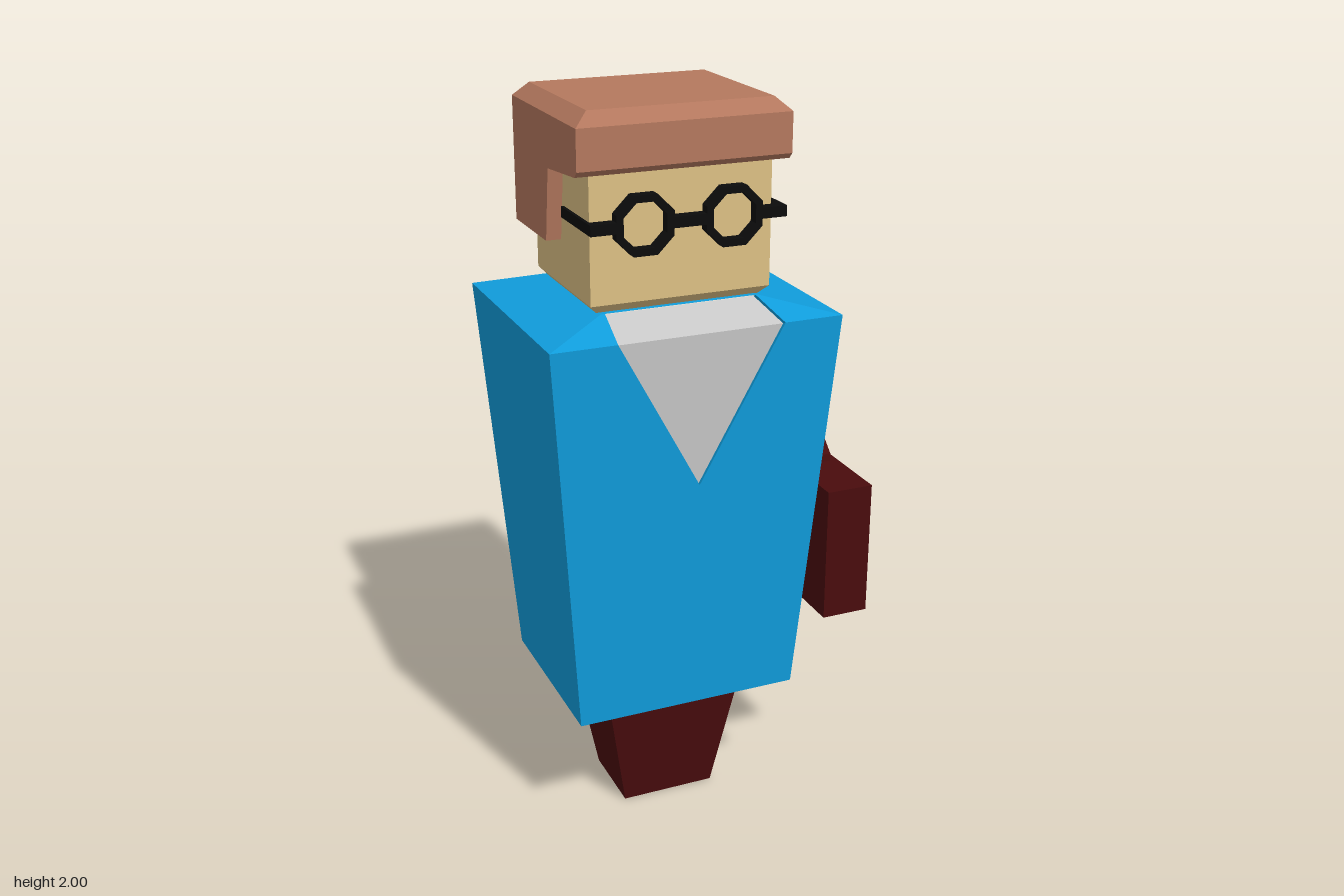
import * as THREE from 'three';

const mat = (name, color) => new THREE.MeshStandardMaterial({ name, color });

// Flat-shaded geometry from convex polygons (corners counter-clockwise)
function polys(list) {
  const pos = [];
  for (const p of list)
    for (let i = 1; i < p.length - 1; i++) pos.push(...p[0], ...p[i], ...p[i + 1]);
  const g = new THREE.BufferGeometry();
  g.setAttribute('position', new THREE.Float32BufferAttribute(pos, 3));
  g.computeVertexNormals();
  return g;
}

// Polygons joining stacked rectangles [y, x0, x1, z0, z1]; side 0 is the front
function stack(rings, { skip = -1, bottom = true, top = true } = {}) {
  const r = rings.map(([y, x0, x1, z0, z1]) => [[x0, y, z1], [x1, y, z1], [x1, y, z0], [x0, y, z0]]);
  const out = [];
  for (let k = 0; k < r.length - 1; k++)
    for (let i = 0; i < 4; i++) {
      const j = (i + 1) % 4;
      if (i !== skip) out.push([r[k][i], r[k][j], r[k + 1][j], r[k + 1][i]]);
    }
  if (bottom) out.push([...r[0]].reverse());
  if (top) out.push(r[r.length - 1]);
  return out;
}

// Side profile given as [z, y], extruded from x0 to x1
function sideExtrude(points, x0, x1) {
  const shape = new THREE.Shape(points.map(([z, y]) => new THREE.Vector2(z, y)));
  const g = new THREE.ExtrudeGeometry(shape, { depth: x1 - x0, bevelEnabled: false });
  return g.rotateY(-Math.PI / 2).translate(x1, 0, 0);
}

export function createModel() {
  const model = new THREE.Group();
  const blue = mat('jumper blue', 0x109ddc);
  const red = mat('dark maroon', 0x490c0d);
  const skin = mat('skin', 0xdcc084);
  const brown = mat('hair brown', 0xb4785e);
  const grey = mat('shirt grey', 0xc8c8c8);
  const black = mat('glasses black', 0x0c0c0c);
  const add = (name, geo, material, parent = model) => {
    const m = new THREE.Mesh(geo, material);
    m.name = name;
    parent.add(m);
    return m;
  };
  const box = (name, x0, x1, y0, y1, z0, z1, material, parent) =>
    add(name, new THREE.BoxGeometry(x1 - x0, y1 - y0, z1 - z0), material, parent)
      .position.set((x0 + x1) / 2, (y0 + y1) / 2, (z0 + z1) / 2);

  // Tapered legs and the dark underside of the torso
  add('legs', polys(stack([[0, -0.185, 0.082, -0.108, 0.108], [0.375, -0.252, 0.149, -0.163, 0.163]])), red);
  const hem = [0.373, -0.365, 0.26, -0.255, 0.255];
  add('torsoUnderside', polys(stack([hem, hem], { top: false }).slice(4)), red);

  // Torso with a V opening cut into the front
  const shoulder = [1.457, -0.445, 0.342, -0.32, 0.32];
  const neckline = [1.497, -0.267, 0.163, -0.2, 0.195];
  const BL = [-0.365, 0.373, 0.255], BR = [0.26, 0.373, 0.255];
  const TL = [-0.445, 1.457, 0.32], TR = [0.342, 1.457, 0.32];
  const NL = [-0.267, 1.497, 0.195], NR = [0.163, 1.497, 0.195];
  const V = [-0.041, 1.04, 0.295];
  const VL = [-0.27, 1.457, 0.32], VR = [0.18, 1.457, 0.32];
  const CL = [-0.256, 1.497, 0.195], CR = [0.156, 1.497, 0.195];
  const inset = ([x, y, z]) => [x, y - 0.006, z - 0.014];
  const [v, vl, vr, cl, cr] = [V, VL, VR, CL, CR].map(inset);
  add('torso', polys([
    ...stack([hem, shoulder, neckline], { skip: 0, bottom: false }),
    [BL, BR, V], [BL, V, VL, TL], [BR, TR, VR, V],
    [TL, VL, CL, NL], [VR, TR, NR, CR],
    [V, v, vl, VL], [VL, vl, cl, CL], [v, V, VR, vr], [vr, VR, CR, cr],
  ]), blue);
  add('shirt', polys([[v, vr, vl], [vl, vr, cr, cl]]), grey).material.side = THREE.DoubleSide;

  // Head, narrowing slightly at the chin
  add('head', polys(stack([
    [1.49, -0.267, 0.163, -0.172, 0.172],
    [1.52, -0.295, 0.191, -0.2, 0.2],
    [1.9, -0.295, 0.191, -0.2, 0.2],
  ])), skin);

  // Hair: fringe, sideburns and back in one profile, with a bevelled crown
  const hair = new THREE.Group();
  hair.name = 'hair';
  model.add(hair);
  add('hairSides', sideExtrude([
    [0.23, 1.965], [0.23, 1.862], [0.215, 1.847], [0.02, 1.83],
    [-0.008, 1.64], [-0.25, 1.64], [-0.25, 1.965],
  ], -0.335, 0.231), brown, hair);
  add('hairCrown', polys(stack([
    [1.965, -0.335, 0.231, -0.25, 0.23], [2, -0.297, 0.193, -0.222, 0.2],
  ], { bottom: false })), brown, hair);

  // Glasses: octagonal rims, bridge, end pieces and temples
  const glasses = new THREE.Group();
  glasses.name = 'glasses';
  glasses.position.set(-0.041, 1.718, 0.2);
  model.add(glasses);
  const octagon = (Path, r) => new Path(Array.from({ length: 8 }, (_, i) => {
    const a = (i + 0.5) * Math.PI / 4;
    return new THREE.Vector2(Math.cos(a) * r, Math.sin(a) * r);
  }));
  const rim = octagon(THREE.Shape, 0.082);
  rim.holes.push(octagon(THREE.Path, 0.062));
  const rimGeo = new THREE.ExtrudeGeometry(rim, { depth: 0.03, bevelEnabled: false });
  for (const s of [-1, 1]) {
    add('rim', rimGeo, black, glasses).position.x = s * 0.119;
    const ends = [s * 0.19, s * 0.262].sort((a, b) => a - b);
    box('endPiece', ...ends, -0.014, 0.014, 0, 0.03, black, glasses);
    const temple = [s * 0.236, s * 0.262].sort((a, b) => a - b);
    box('temple', ...temple, -0.014, 0.014, -0.18, 0.02, black, glasses);
  }
  box('bridge', -0.046, 0.046, -0.014, 0.014, 0, 0.03, black, glasses);

  // Briefcase at the left side with a curved handle
  const briefcase = new THREE.Group();
  briefcase.name = 'briefcase';
  model.add(briefcase);
  box('case', 0.312, 0.442, 0.602, 0.975, -0.34, 0.34, red, briefcase);
  add('handle', sideExtrude([
    [0.15, 0.965], [0.144, 0.995], [0.11, 1.025], [0.05, 1.048], [0, 1.05],
    [0, 1.026], [0.048, 1.024], [0.1, 1.004], [0.125, 0.985], [0.13, 0.965],
  ], 0.336, 0.421), red, briefcase);
  box('handleMount', 0.336, 0.421, 0.965, 0.985, -0.14, -0.115, red, briefcase);

  return model;
}
